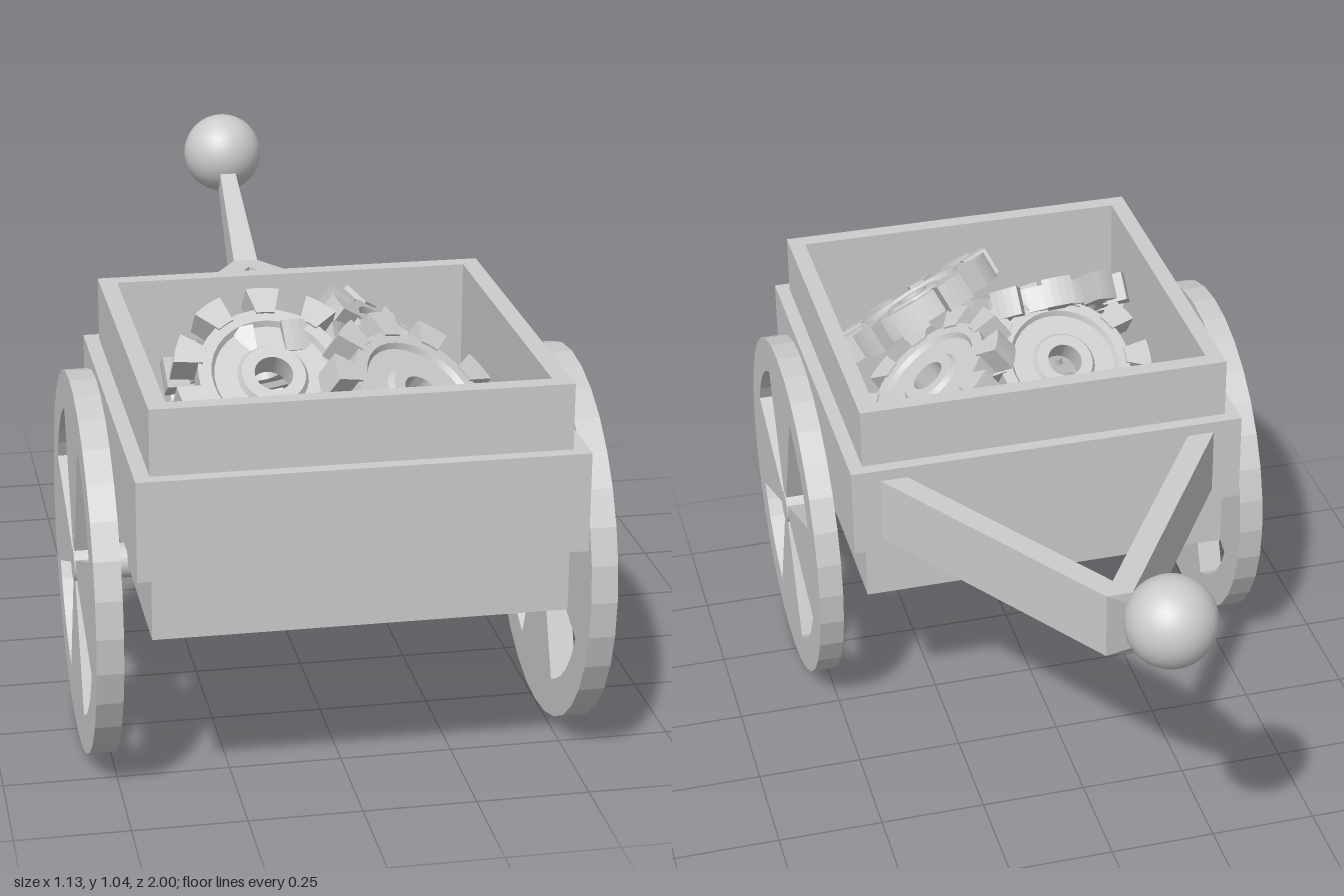
import * as THREE from 'three';
import { toCreasedNormals } from 'three/addons/utils/BufferGeometryUtils.js';

const material = new THREE.MeshStandardMaterial({ color: 0xcccccc });

function addMesh(parent, name, geometry) {
  const mesh = new THREE.Mesh(geometry, material);
  mesh.name = name;
  parent.add(mesh);
  return mesh;
}

// Points along an arc around the origin
function arc(radius, from, to, steps) {
  return Array.from({ length: steps + 1 }, (_, i) => {
    const a = from + (to - from) * i / steps;
    return new THREE.Vector2(radius * Math.cos(a), radius * Math.sin(a));
  });
}

// Plan drawn as [x, z] points, raised from y0 to y1
function raisePlan(points, y0, y1, hole) {
  const toVectors = (list) => list.map(([x, z]) => new THREE.Vector2(x, -z));
  const shape = new THREE.Shape(toVectors(points));
  if (hole) shape.holes.push(new THREE.Path(toVectors(hole)));
  const geometry = new THREE.ExtrudeGeometry(shape, { depth: y1 - y0, bevelEnabled: false });
  return geometry.rotateX(-Math.PI / 2).translate(0, y0, 0);
}

const CENTRE_Z = 0.53;
function rect(halfX, halfZ) {
  return [[-halfX, CENTRE_Z + halfZ], [halfX, CENTRE_Z + halfZ], [halfX, CENTRE_Z - halfZ], [-halfX, CENTRE_Z - halfZ]];
}

// Wheel with four wedge openings, axis along x
function wheelGeometry() {
  const thickness = 0.058;
  const shape = new THREE.Shape(arc(0.425, 0, Math.PI * 2, 32).slice(0, -1));
  for (let i = 0; i < 4; i++) {
    const mid = Math.PI / 4 + i * Math.PI / 2;
    const a = mid - Math.PI / 8, b = mid + Math.PI / 8;
    shape.holes.push(new THREE.Path([...arc(0.34, a, b, 6), ...arc(0.035, b - 0.06, a + 0.06, 2)]));
  }
  return new THREE.ExtrudeGeometry(shape, { depth: thickness, bevelEnabled: false })
    .translate(0, 0, -thickness / 2).rotateY(Math.PI / 2);
}

// Gear body: ring, recessed web and raised hub, turned around y
function gearBodyGeometry() {
  const upper = [[0.042, 0.03], [0.07, 0.03], [0.078, 0.018], [0.128, 0.018], [0.136, 0.03], [0.165, 0.03]];
  const lower = upper.map(([r, y]) => [r, -y]).reverse();
  const profile = [...lower, ...[...upper].reverse()];
  // Run up the outside, across the top and back down through the bore
  const outer = [...lower].reverse().concat([...upper].reverse(), [lower[lower.length - 1]]);
  const points = (outer.length ? outer : profile).map(([r, y]) => new THREE.Vector2(r, y));
  return toCreasedNormals(new THREE.LatheGeometry(points, 32), 0.5);
}

// Flared tooth with a curved outer face
function toothGeometry() {
  const shape = new THREE.Shape([...arc(0.155, -0.13, 0.13, 2), ...arc(0.218, 0.17, -0.17, 4)]);
  return new THREE.ExtrudeGeometry(shape, { depth: 0.07, bevelEnabled: false })
    .translate(0, 0, -0.035).rotateX(-Math.PI / 2);
}

export function createModel() {
  const model = new THREE.Group();
  model.name = 'handcart';

  // Open box with a wider band around its middle
  const box = new THREE.Group();
  box.name = 'cartBox';
  model.add(box);
  addMesh(box, 'boxWalls', raisePlan(rect(0.445, 0.44), 0.425, 0.935, rect(0.405, 0.4)));
  addMesh(box, 'boxFloor', raisePlan(rect(0.405, 0.4), 0.425, 0.47));
  addMesh(box, 'boxBand', raisePlan(rect(0.478, 0.47), 0.57, 0.79, rect(0.445, 0.44)));

  // Axle and wheels
  const axle = addMesh(model, 'axle', new THREE.CylinderGeometry(0.039, 0.039, 1.126, 20).rotateZ(Math.PI / 2));
  axle.position.set(0, 0.42, CENTRE_Z);
  const wheel = wheelGeometry();
  for (const side of [1, -1]) {
    addMesh(model, side > 0 ? 'leftWheel' : 'rightWheel', wheel).position.set(side * 0.531, 0.425, CENTRE_Z);
  }

  // Handle: forked beams, tapering neck and ball grip
  const handle = new THREE.Group();
  handle.name = 'handle';
  model.add(handle);
  addMesh(handle, 'fork', raisePlan([
    [0.415, 0.07], [0.35, 0.07], [0, -0.475], [-0.35, 0.07], [-0.415, 0.07], [-0.03, -0.53], [0.03, -0.53],
  ], 0.6, 0.762));

  const neck = new THREE.BoxGeometry(1, 1, 1);
  const p = neck.attributes.position;
  for (let i = 0; i < p.count; i++) {
    const far = p.getZ(i) < 0, top = p.getY(i) > 0;
    const halfWidth = far ? 0.018 : 0.03;
    const y = far ? (top ? 0.947 : 0.88) : (top ? 0.762 : 0.6);
    p.setXYZ(i, Math.sign(p.getX(i)) * halfWidth, y, far ? -0.87 : -0.53);
  }
  neck.computeVertexNormals();
  addMesh(handle, 'neck', neck);
  addMesh(handle, 'ballGrip', new THREE.SphereGeometry(0.1, 32, 20)).position.set(0, 0.945, -0.9);

  // Heap of gears: position, facing direction and spin
  const heap = new THREE.Group();
  heap.name = 'gearHeap';
  model.add(heap);
  const body = gearBodyGeometry(), tooth = toothGeometry();
  const gears = [
    [[-0.13, 0.85, 0.61], [0.05, 0.78, 0.62], 0.32],
    [[0.16, 0.83, 0.73], [0.42, 0.8, 0.43], 0.1],
    [[0.2, 0.81, 0.38], [0.6, 0.8, 0.05], 0.2],
    [[-0.12, 0.81, 0.38], [-0.08, 0.82, -0.56], 0.0],
    [[-0.13, 0.63, 0.71], [-0.3, 0.92, 0.2], 0.25],
    [[0.05, 0.6, 0.46], [0.1, 0.98, -0.1], 0.1],
  ];
  const up = new THREE.Vector3(0, 1, 0);
  for (const [position, facing, spin] of gears) {
    const gear = new THREE.Group();
    gear.name = 'gear';
    gear.position.set(...position);
    gear.quaternion.setFromUnitVectors(up, new THREE.Vector3(...facing).normalize());
    addMesh(gear, 'gearBody', body);
    for (let i = 0; i < 10; i++) {
      addMesh(gear, 'gearTooth', tooth).rotation.y = spin + i * Math.PI / 5;
    }
    heap.add(gear);
  }

  return model;
}
